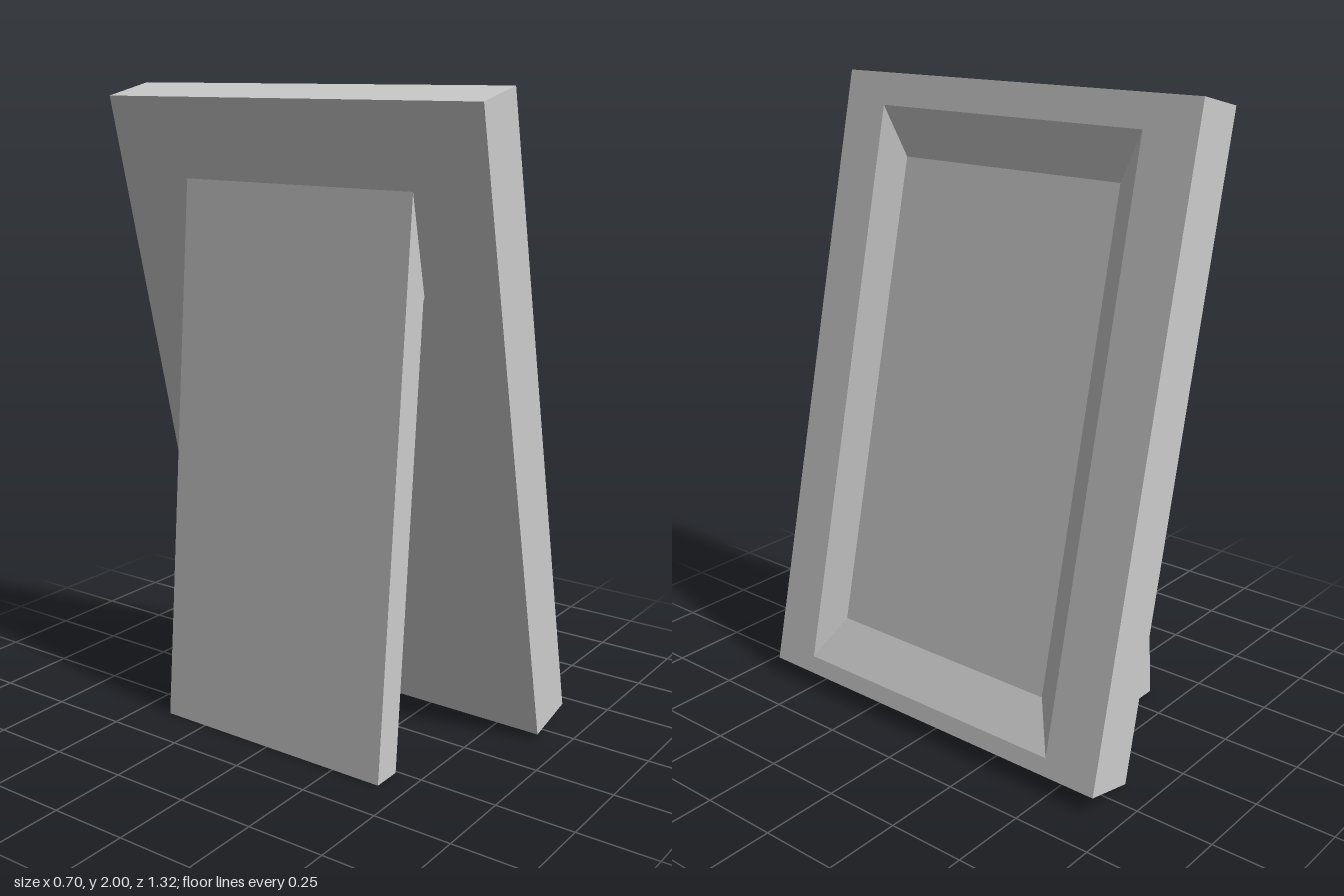
import * as THREE from 'three';

const material = new THREE.MeshStandardMaterial({ color: 0xcccccc, flatShading: true });

// Rectangle at depth x, counter-clockwise when seen from +x
const rect = (x, y0, y1, z0, z1) => [[x, y0, z1], [x, y0, z0], [x, y1, z0], [x, y1, z1]];

// Joins successive rectangles with quads, optionally closing the first or last one
function loft(name, rings, capStart, capEnd) {
  const positions = [];
  const quad = (a, b, c, d) => positions.push(...a, ...b, ...c, ...a, ...c, ...d);
  for (let i = 0; i < rings.length - 1; i++) {
    const a = rings[i], b = rings[i + 1];
    for (let j = 0; j < 4; j++) {
      const k = (j + 1) % 4;
      quad(a[j], a[k], b[k], b[j]);
    }
  }
  if (capStart) quad(...[...rings[0]].reverse());
  if (capEnd) quad(...rings[rings.length - 1]);
  const geometry = new THREE.BufferGeometry();
  geometry.setAttribute('position', new THREE.Float32BufferAttribute(positions, 3));
  geometry.computeVertexNormals();
  const mesh = new THREE.Mesh(geometry, material);
  mesh.name = name;
  return mesh;
}

export function createModel() {
  const model = new THREE.Group();
  model.name = 'standingFrame';

  // Leaning frame: local y runs up the face, local x points out of it
  const back = rect(-0.173, 0, 1.994, -0.66, 0.66);
  const front = rect(0, 0, 1.994, -0.66, 0.66);
  const opening = rect(0, 0.056, 1.892, -0.48, 0.5);
  const panel = rect(-0.052, 0.207, 1.742, -0.4, 0.42);

  const frame = new THREE.Group();
  frame.name = 'frame';
  frame.add(
    loft('frameBody', [back, front, opening], true, false),
    loft('recessedPanel', [opening, panel], false, true)
  );
  frame.position.set(0.348, 0.055, 0);
  frame.rotation.z = 0.2224;
  model.add(frame);

  // Rear support, its slanted top buried in the back of the frame
  const profile = new THREE.Shape([
    [-0.353, 0], [-0.258, 0], [-0.143, 1.41], [-0.125, 1.43], [-0.19, 1.72], [-0.205, 1.72],
  ].map(([x, y]) => new THREE.Vector2(x, y)));
  const standGeometry = new THREE.ExtrudeGeometry(profile, { depth: 0.815, bevelEnabled: false });
  standGeometry.translate(0, 0, -0.4);
  const stand = new THREE.Mesh(standGeometry, material);
  stand.name = 'rearSupport';
  model.add(stand);

  return model;
}
